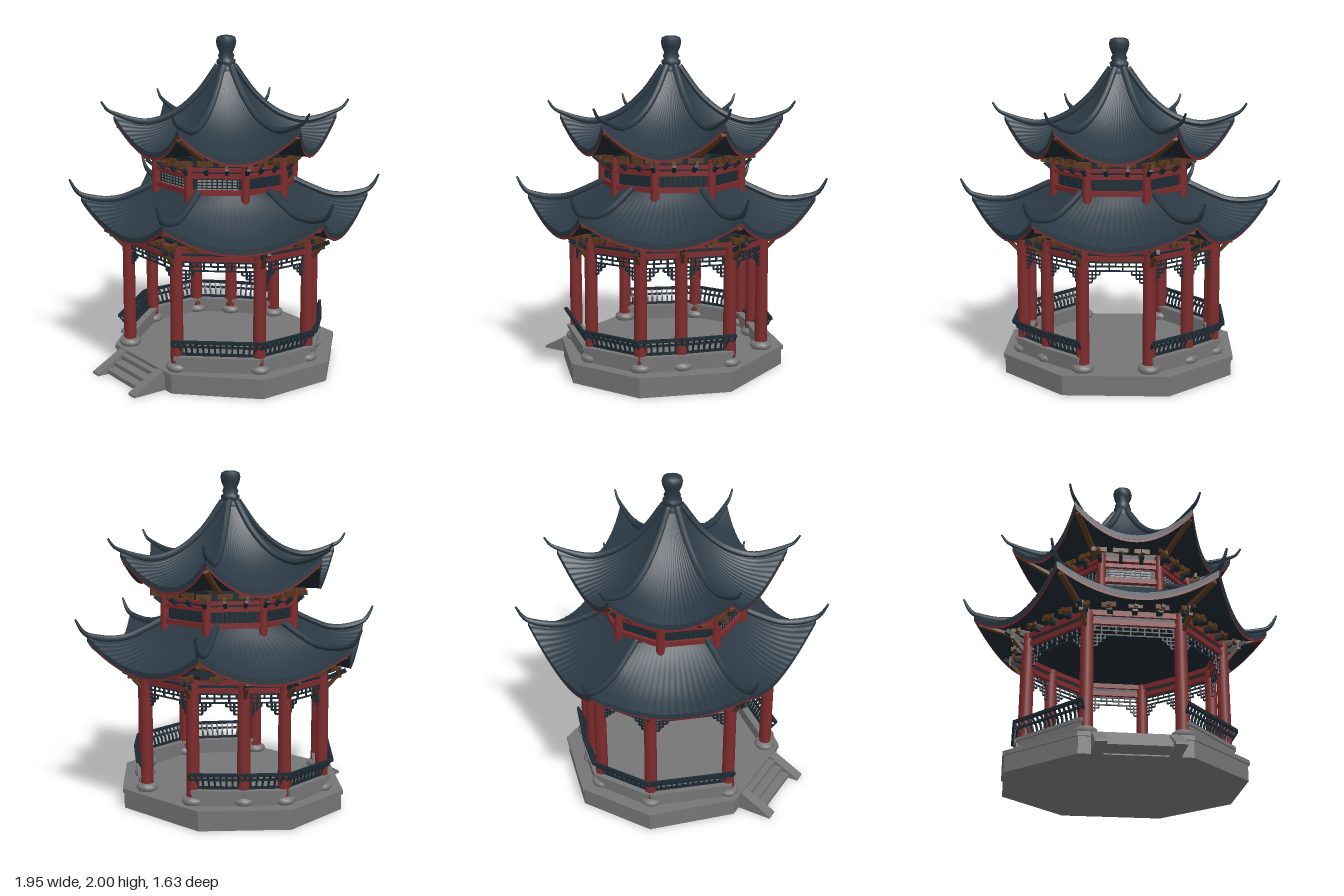
import * as THREE from 'three';

const mat = (name, color) => {
  const m = new THREE.MeshStandardMaterial({ color, side: THREE.DoubleSide });
  m.name = name;
  return m;
};
const V = (x, y, z) => new THREE.Vector3(x, y, z);

export function createModel() {
  const model = new THREE.Group();
  const M = {
    roof: mat('slate tile', 0x2b3944), under: mat('dark soffit', 0x1b262d), red: mat('red lacquer', 0x7c2a2c),
    stone: mat('grey stone', 0x757575), rail: mat('dark railing', 0x1c2a32), brown: mat('bracket brown', 0x5a381e),
    pale: mat('pale screen', 0x8b8e8c),
  };
  const group = (name, parent = model) => {
    const g = new THREE.Group();
    g.name = name;
    parent.add(g);
    return g;
  };
  const add = (parent, geo, material, name) => {
    const m = new THREE.Mesh(geo, material);
    m.name = name;
    parent.add(m);
    return m;
  };
  // Square bar running between two points
  const bar = (parent, a, b, w, h, material, name) => {
    const m = add(parent, new THREE.BoxGeometry(w, h, a.distanceTo(b)), material, name);
    m.position.copy(a).lerp(b, 0.5);
    m.lookAt(b);
    return m;
  };
  // Upright prism from an [x, z] outline
  const prism = (parent, pts, y0, y1, material, name) => {
    const shape = new THREE.Shape(pts.map(([x, z]) => new THREE.Vector2(x, -z)));
    const geo = new THREE.ExtrudeGeometry(shape, { depth: y1 - y0, bevelEnabled: false });
    return add(parent, geo.rotateX(-Math.PI / 2).translate(0, y0, 0), material, name);
  };
  // Eight-sided outline with corners (a, b) and (c, d) mirrored
  const octagon = (a, b, c, d, k = 1) =>
    [[a, b], [c, d], [c, -d], [a, -b], [-a, -b], [-c, -d], [-c, d], [-a, b]].map(([x, z]) => [x * k, z * k]);

  // Stone platform
  const base = group('platform');
  const plan = octagon(0.31, 0.62, 0.69, 0.24);
  prism(base, plan.map(([x, z]) => [x * 0.985, z * 0.985]), 0, 0.1, M.stone, 'platformBody');
  prism(base, plan, 0.095, 0.12, M.stone, 'platformSlab');

  // Front steps with sloping side stones
  const steps = group('steps');
  for (let i = 0; i < 3; i++) {
    const s = add(steps, new THREE.BoxGeometry(0.34, 0.026, 0.16 - i * 0.05), M.stone, 'step');
    s.position.set(0, 0.02 + i * 0.034, 0.6 + (0.16 - i * 0.05) / 2);
  }
  for (const x of [-0.205, 0.205]) {
    const side = new THREE.Shape([[-0.6, 0], [-0.82, 0], [-0.82, 0.012], [-0.63, 0.115], [-0.6, 0.115]]
      .map(p => new THREE.Vector2(...p)));
    const geo = new THREE.ExtrudeGeometry(side, { depth: 0.065, bevelEnabled: false });
    add(steps, geo.rotateY(Math.PI / 2).translate(x - 0.0325, 0, 0), M.stone, 'stepSide');
  }

  // Columns, benches, railings, lattices and beams
  const half = [[0.26, 0.54], [0.57, 0.18], [0.57, -0.17], [0.41, -0.34], [0.19, -0.53]];
  const stonePts = [[0.055, 0.12], [0.066, 0.135], [0.062, 0.152], [0.045, 0.165], [0, 0.165]];
  const columns = group('columns'), benches = group('benches'), rails = group('railings');
  const hangings = group('hangingLattice'), beams = group('beams'), brackets = group('lowerBrackets');

  const span = ([ax, az], [bx, bz]) => {
    const a = V(ax, 0, az), b = V(bx, 0, bz), len = a.distanceTo(b);
    const at = (t, y) => a.clone().lerp(b, t).setY(y);
    bar(beams, at(0, 0.785), at(1, 0.785), 0.035, 0.03, M.red, 'lowerBeam');
    bar(beams, at(0, 0.835), at(1, 0.835), 0.05, 0.03, M.red, 'upperBeam');
    bar(beams, at(0, 0.81), at(1, 0.81), 0.02, 0.03, M.rail, 'frieze');
    for (const y of [0.762, 0.738, 0.712]) bar(hangings, at(0, y), at(1, y), 0.01, 0.008, M.rail, 'latticeRail');
    const n = Math.round(len / 0.04);
    for (let i = 1; i < n; i++) {
      const y = i % 2 ? 0.738 : 0.712;
      bar(hangings, at(i / n, y), at(i / n, 0.765), 0.008, 0.01, M.rail, 'latticePost');
    }
    // Stepped fretwork beside each column
    for (const dir of [0, 1]) {
      const p = (d, y) => at(dir ? 1 - d / len : d / len, y);
      for (const [d, y] of [[0.1, 0.69], [0.075, 0.668], [0.055, 0.645]]) {
        bar(hangings, p(0.03, y), p(d, y), 0.01, 0.008, M.rail, 'fretRail');
        bar(hangings, p(d, y), p(d, 0.712), 0.008, 0.01, M.rail, 'fretPost');
      }
    }
    // Bracket clusters above the beams
    const k = Math.max(2, Math.round(len / 0.13));
    for (let i = 0; i <= k; i++) {
      const p = at(i / k, 0.862), out = p.clone().setY(0).normalize();
      const q = d => p.clone().addScaledVector(out, d);
      bar(brackets, p, q(0.1), 0.022, 0.022, M.brown, 'bracketArm');
      bar(brackets, q(0.02).setY(0.84), q(0.06).setY(0.85), 0.03, 0.025, M.rail, 'bracketBlock');
      const side = V(-out.z, 0, out.x).multiplyScalar(0.04);
      bar(brackets, q(0.075).sub(side), q(0.075).add(side), 0.016, 0.028, M.brown, 'bracketCross');
    }
  };

  for (const sx of [1, -1]) {
    const pts = half.map(([x, z]) => [x * sx, z]);
    for (const [x, z] of pts) {
      const c = add(columns, new THREE.CylinderGeometry(0.036, 0.038, 0.7, 16), M.red, 'column');
      c.position.set(x, 0.5, z);
      add(columns, new THREE.LatheGeometry(stonePts.map(p => new THREE.Vector2(...p)), 16), M.stone, 'columnBase')
        .position.set(x, 0, z);
      // Outer strut carrying the eave
      const o = V(x, 0, z).normalize(), q = (d, y) => V(x + o.x * d, y, z + o.z * d);
      bar(brackets, q(0.03, 0.75), q(0.1, 0.83), 0.02, 0.022, M.brown, 'eaveStrut');
      bar(brackets, q(0.03, 0.80), q(0.14, 0.855), 0.022, 0.025, M.rail, 'eaveArm');
      bar(brackets, q(0.1, 0.81), q(0.1, 0.87), 0.022, 0.022, M.brown, 'eavePost');
    }
    for (let i = 0; i < 4; i++) {
      span(pts[i], pts[i + 1]);
      const at = (t, y, k) => V(pts[i][0], 0, pts[i][1]).lerp(V(pts[i + 1][0], 0, pts[i + 1][1]), t)
        .multiplyScalar(k).setY(y);
      bar(benches, at(0, 0.155, 1.02), at(1, 0.155, 1.02), 0.07, 0.075, M.stone, 'benchWall');
      bar(benches, at(-0.02, 0.2, 1.02), at(1.02, 0.2, 1.02), 0.09, 0.02, M.stone, 'benchSeat');
      for (const [y, k, w] of [[0.218, 1.03, 0.014], [0.272, 1.075, 0.012], [0.305, 1.11, 0.018]])
        bar(rails, at(0, y, k), at(1, y, k), w, w, M.rail, 'handrail');
      const n = Math.round(at(0, 0, 1).distanceTo(at(1, 0, 1)) / 0.032);
      for (let j = 0; j <= n; j++) {
        bar(rails, at(j / n, 0.21, 1.03), at(j / n, 0.255, 1.05), 0.01, 0.01, M.rail, 'balusterFoot');
        bar(rails, at(j / n, 0.255, 1.05), at(j / n, 0.305, 1.11), 0.01, 0.01, M.rail, 'balusterTop');
      }
    }
  }
  span([-0.26, 0.54], [0.26, 0.54]);
  span([-0.19, -0.53], [0.19, -0.53]);
  prism(beams, octagon(0.25, 0.53, 0.56, 0.18), 0.85, 0.87, M.under, 'ceiling');

  // Upper storey
  const upper = group('upperStorey');
  const ring = octagon(0.17, 0.39, 0.38, 0.14);
  prism(upper, octagon(0.17, 0.39, 0.38, 0.14, 0.94), 0.87, 1.33, M.under, 'upperCore');
  ring.forEach(([x, z], i) => {
    const [bx, bz] = ring[(i + 1) % 8], a = V(x, 0, z), b = V(bx, 0, bz);
    const at = (t, y, k = 1) => a.clone().lerp(b, t).multiplyScalar(k).setY(y);
    add(upper, new THREE.CylinderGeometry(0.026, 0.026, 0.24, 12), M.red, 'upperColumn').position.set(x, 1.18, z);
    for (const [y, h] of [[1.13, 0.03], [1.225, 0.025], [1.262, 0.02]])
      bar(upper, at(0, y), at(1, y), 0.03, h, M.red, 'upperBeam');
    const pale = i === 7 || i === 0;
    bar(upper, at(0.12, 1.178, 0.975), at(0.88, 1.178, 0.975), 0.008, 0.075, pale ? M.pale : M.rail, 'screen');
    for (const y of [1.155, 1.172, 1.189, 1.206])
      bar(upper, at(0.1, y, 0.99), at(0.9, y, 0.99), 0.006, 0.005, M.rail, 'screenBar');
    for (let j = 0; j < 9; j++)
      bar(upper, at(0.14 + j * 0.09, 1.15, 0.99), at(0.14 + j * 0.09, 1.21, 0.99), 0.005, 0.006, M.rail, 'screenPost');
    for (let j = 0; j < 3; j++) {
      const t = j / 3;
      bar(upper, at(t, 1.285), at(t, 1.295, 1.2), 0.02, 0.025, M.brown, 'bracketArm');
      bar(upper, at(t - 0.12, 1.305, 1.12), at(t + 0.12, 1.305, 1.12), 0.016, 0.028, M.brown, 'bracketCross');
      bar(upper, at(t, 1.24, 1.04), at(t, 1.275, 1.14), 0.02, 0.02, M.rail, 'bracketBlock');
    }
  });

  // Grid surface from a rule fn(t, s), t in 0..1 and s in -1..1
  const sheet = (parent, fn, nt, ns, material, name) => {
    const pos = [], idx = [];
    for (let i = 0; i <= nt; i++) for (let j = 0; j <= ns; j++) {
      pos.push(...fn(i / nt, (j / ns) * 2 - 1).toArray());
      if (i < nt && j < ns) {
        const a = i * (ns + 1) + j, b = a + ns + 1;
        idx.push(a, a + 1, b, b, a + 1, b + 1);
      }
    }
    const g = new THREE.BufferGeometry();
    g.setAttribute('position', new THREE.Float32BufferAttribute(pos, 3));
    g.setIndex(idx);
    g.computeVertexNormals();
    return add(parent, g, material, name);
  };
  const curve = pts => new THREE.CatmullRomCurve3(pts.map(([r, y]) => V(r, y, 0)));

  // Six-sided roof: corner and mid-side profiles as [radius, height]
  const roof = (name, corner, middle, horn, inner) => {
    const g = group(name);
    g.scale.z = 0.965;
    const C = curve(corner), D = curve(middle);
    for (let k = 0; k < 6; k++) {
      const f = Math.PI / 6 + k * Math.PI / 3, nx = Math.cos(f), nz = Math.sin(f);
      const place = (c, m, s) => {
        const w = s * s, a = THREE.MathUtils.lerp(m.x, c.x * 0.866, w), l = s * c.x * 0.5;
        return V(nx * a - nz * l, THREE.MathUtils.lerp(m.y, c.y, w), nz * a + nx * l);
      };
      const top = (t, s) => place(C.getPoint(t), D.getPoint(t), s);
      const tiles = (t, s) => {
        const p = top(t, s);
        p.y += 0.003 * t * Math.cos(s * Math.PI * 20);
        return p;
      };
      const drop = (s, d, q = 1) => {
        const p = top(1, s);
        return V(p.x * q, p.y - d, p.z * q);
      };
      sheet(g, tiles, 12, 80, M.roof, 'roofTiles');
      sheet(g, (t, s) => drop(s, t * 0.03), 1, 40, M.roof, 'eaveEdge');
      sheet(g, (t, s) => drop(s, 0.028 + t * 0.016, 0.992), 1, 40, M.red, 'eaveTrim');
      sheet(g, (t, s) => {
        const [r, y] = inner, e = drop(s, 0.04, 0.99);
        return place(V(r, y, 0), V(r * 0.866, y, 0), s).lerp(e, t);
      }, 6, 24, M.under, 'soffit');

      // Corner ridge tapering into an upswept horn
      const path = curve([...corner.map(([r, y]) => [r, y + 0.012]), ...horn]);
      const tube = new THREE.TubeGeometry(path, 40, 0.02, 8);
      const P = tube.attributes.position, v = V(0, 0, 0);
      for (let i = 0; i < P.count; i++) {
        const u = Math.floor(i / 9) / 40;
        v.fromBufferAttribute(P, i).lerp(path.getPointAt(u), Math.max(0, u - 0.72) * 2.5);
        P.setXYZ(i, v.x, v.y, v.z);
      }
      tube.computeVertexNormals();
      add(g, tube, M.roof, 'cornerRidge').rotation.y = -k * Math.PI / 3;
      // Hip beam under each corner
      const [er, ey] = corner[corner.length - 1], ca = Math.cos(f - Math.PI / 6), sa = Math.sin(f - Math.PI / 6);
      bar(g, V(ca * inner[0], inner[1] - 0.015, sa * inner[0]), V(ca * er * 0.96, ey - 0.055, sa * er * 0.96),
        0.03, 0.03, M.brown, 'hipBeam');
    }
  };
  roof('lowerRoof',
    [[0.42, 1.12], [0.55, 1.06], [0.66, 1.02], [0.78, 1.015], [0.9, 1.045]],
    [[0.37, 1.12], [0.46, 1.04], [0.55, 0.98], [0.65, 0.925], [0.755, 0.89]],
    [[0.935, 1.09], [0.968, 1.15]], [0.5, 0.9]);
  roof('upperRoof',
    [[0.05, 1.81], [0.18, 1.64], [0.33, 1.525], [0.5, 1.48], [0.69, 1.535]],
    [[0.043, 1.81], [0.15, 1.63], [0.27, 1.5], [0.41, 1.41], [0.56, 1.355]],
    [[0.73, 1.57], [0.762, 1.615]], [0.36, 1.32]);

  // Finial
  const fin = [[0.06, 1.79], [0.058, 1.815], [0.046, 1.822], [0.056, 1.835], [0.056, 1.855], [0.042, 1.865],
    [0.05, 1.88], [0.04, 1.9], [0.055, 1.935], [0.061, 1.965], [0.054, 1.99], [0.03, 2.0], [0, 2.0]];
  add(model, new THREE.LatheGeometry(fin.map(p => new THREE.Vector2(...p)), 12), M.roof, 'finial');
  return model;
}
